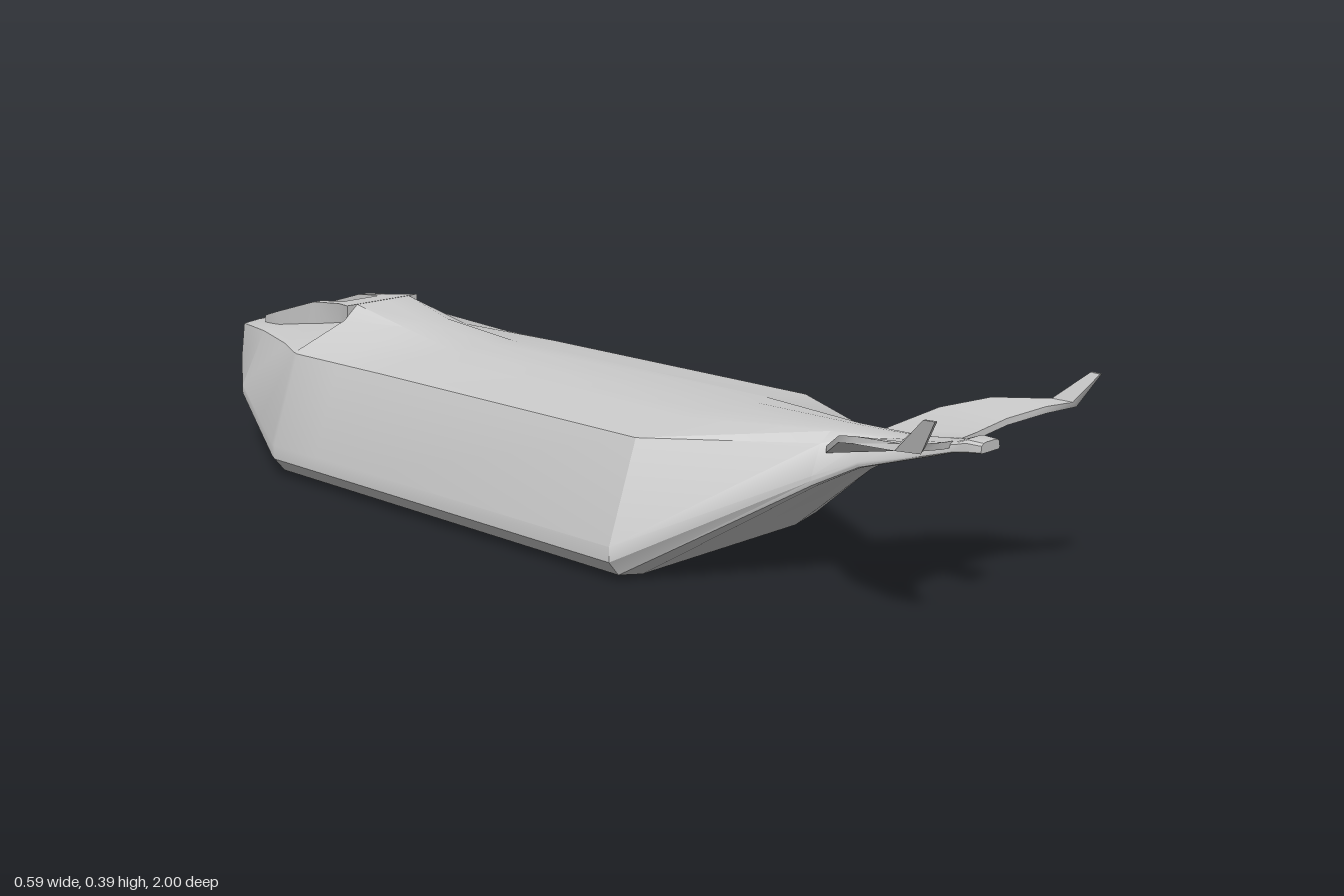
import * as THREE from 'three';
import { toCreasedNormals } from 'three/addons/utils/BufferGeometryUtils.js';

const material = new THREE.MeshStandardMaterial({ color: 0xcccccc, side: THREE.DoubleSide });

// Skin a list of closed rings (arrays of [x, y, z]) and cap both ends.
function loft(rings, crease) {
  const n = rings[0].length;
  const index = [];
  for (let i = 0; i < rings.length - 1; i++) {
    for (let j = 0; j < n; j++) {
      const a = i * n + j, b = i * n + (j + 1) % n;
      index.push(a, b, a + n, b, b + n, a + n);
    }
  }
  const last = (rings.length - 1) * n;
  for (let j = 1; j < n - 1; j++) {
    index.push(0, j + 1, j, last, last + j, last + j + 1);
  }
  const g = new THREE.BufferGeometry();
  g.setAttribute('position', new THREE.Float32BufferAttribute(rings.flat(2), 3));
  g.setIndex(index);
  return toCreasedNormals(g, crease);
}

function part(name, geometry) {
  const mesh = new THREE.Mesh(geometry, material);
  mesh.name = name;
  return mesh;
}

// Hull cross-section: flat bottom, bevelled bilge, sloping side, chine, shoulder, deck.
function hullRing([z, flat, wide, chine, yBottom, yChine, shoulder, yShoulder, top, yTop]) {
  const k = (yChine - yBottom) / 0.25;
  const half = [
    [flat, yBottom],
    [flat + (wide - flat) * 0.72, yBottom + 0.012 * k],
    [wide, yBottom + 0.04 * k],
    [wide, yBottom + 0.068 * k],
    [chine, yChine],
    [shoulder, yShoulder],
    [top, yTop],
  ];
  return [
    [0, yBottom, z],
    ...half.map(([x, y]) => [x, y, z]),
    [0, yTop, z],
    ...half.reverse().map(([x, y]) => [-x, y, z]),
  ];
}

function hull() {
  // z, flat, wide, chine, yBottom, yChine, shoulder, yShoulder, top, yTop
  const stations = [
    [-1.0, 0.025, 0.035, 0.03, 0.155, 0.228, 0.02, 0.232, 0.012, 0.235],
    [-0.975, 0.055, 0.09, 0.08, 0.135, 0.236, 0.06, 0.238, 0.04, 0.24],
    [-0.85, 0.115, 0.18, 0.118, 0.09, 0.243, 0.085, 0.25, 0.055, 0.252],
    [-0.7, 0.17, 0.247, 0.175, 0.04, 0.247, 0.09, 0.273, 0.06, 0.276],
    [-0.6, 0.208, 0.29, 0.225, 0.003, 0.25, 0.1, 0.29, 0.07, 0.293],
    [-0.585, 0.21, 0.295, 0.23, 0, 0.25, 0.105, 0.302, 0.07, 0.331],
    [-0.45, 0.21, 0.295, 0.23, 0, 0.251, 0.11, 0.284, 0.06, 0.302],
    [-0.3, 0.21, 0.295, 0.23, 0, 0.252, 0.11, 0.27, 0.05, 0.273],
    [0.375, 0.21, 0.295, 0.23, 0, 0.252, 0.11, 0.268, 0.05, 0.272],
    [0.65, 0.075, 0.088, 0.066, 0.19, 0.263, 0.04, 0.28, 0.02, 0.283],
    [0.72, 0.045, 0.052, 0.042, 0.23, 0.272, 0.03, 0.284, 0.015, 0.286],
    [0.8, 0.028, 0.035, 0.03, 0.255, 0.28, 0.023, 0.288, 0.012, 0.29],
    [0.89, 0.018, 0.024, 0.022, 0.284, 0.298, 0.018, 0.3, 0.012, 0.302],
    [0.915, 0.022, 0.028, 0.027, 0.289, 0.306, 0.022, 0.311, 0.012, 0.312],
    [0.945, 0.02, 0.026, 0.025, 0.293, 0.306, 0.02, 0.31, 0.012, 0.311],
  ];
  return loft(stations.map(hullRing), 0.5);
}

// Raised frame around the open cockpit, following the slope of the nose.
function cockpitFrame() {
  const right = [[0.095, -0.587], [0.075, -0.64], [0.073, -0.73], [0.075, -0.86], [0.062, -0.92], [0.035, -0.945]];
  const outline = [...right, ...right.map(([x, z]) => [-x, z]).reverse()];
  const opening = [[0.05, -0.66], [0.05, -0.73], [0.05, -0.88], [-0.05, -0.88], [-0.05, -0.73], [-0.05, -0.66]];
  const toPoints = (list) => list.map(([x, z]) => new THREE.Vector2(x, -z));
  const shape = new THREE.Shape(toPoints(outline));
  shape.holes.push(new THREE.Path(toPoints(opening)));
  const g = new THREE.ExtrudeGeometry(shape, { depth: 1, bevelEnabled: false });
  g.rotateX(-Math.PI / 2);
  const p = g.attributes.position;
  for (let i = 0; i < p.count; i++) {
    const z = p.getZ(i);
    const roof = z > -0.73
      ? THREE.MathUtils.mapLinear(z, -0.587, -0.73, 0.331, 0.317)
      : THREE.MathUtils.mapLinear(z, -0.73, -0.945, 0.317, 0.252);
    p.setY(i, p.getY(i) > 0.5 ? roof : roof - 0.07);
  }
  return toCreasedNormals(g, 0.5);
}

// Swept tail fin ending in an upturned tip; side is +1 (left) or -1 (right).
function tailFin(side) {
  // leading point, trailing point, thickness offset [x, y]
  const stations = [
    [[0.01, 0.262, 0.67], [0.005, 0.29, 0.88], [0, 0.01]],
    [[0.07, 0.25, 0.665], [0.045, 0.293, 0.885], [0, 0.012]],
    [[0.14, 0.296, 0.745], [0.12, 0.306, 0.895], [-0.002, 0.012]],
    [[0.192, 0.317, 0.815], [0.175, 0.324, 0.935], [-0.003, 0.012]],
    [[0.223, 0.331, 0.92], [0.216, 0.333, 0.965], [-0.012, 0.01]],
    [[0.235, 0.393, 0.98], [0.232, 0.393, 1.0], [-0.006, 0]],
  ];
  const rings = stations.map(([lead, trail, [dx, dy]]) => {
    const shift = ([x, y, z]) => [x + dx, y + dy, z];
    const ring = [shift(lead), shift(trail), trail, lead].map(([x, y, z]) => [x * side, y, z]);
    return side > 0 ? ring : ring.reverse();
  });
  return loft(rings, 0.5);
}

export function createModel() {
  const group = new THREE.Group();
  group.name = 'finnedBoat';
  group.add(part('hull', hull()));
  group.add(part('cockpitFrame', cockpitFrame()));
  group.add(part('leftTailFin', tailFin(1)));
  group.add(part('rightTailFin', tailFin(-1)));
  return group;
}
